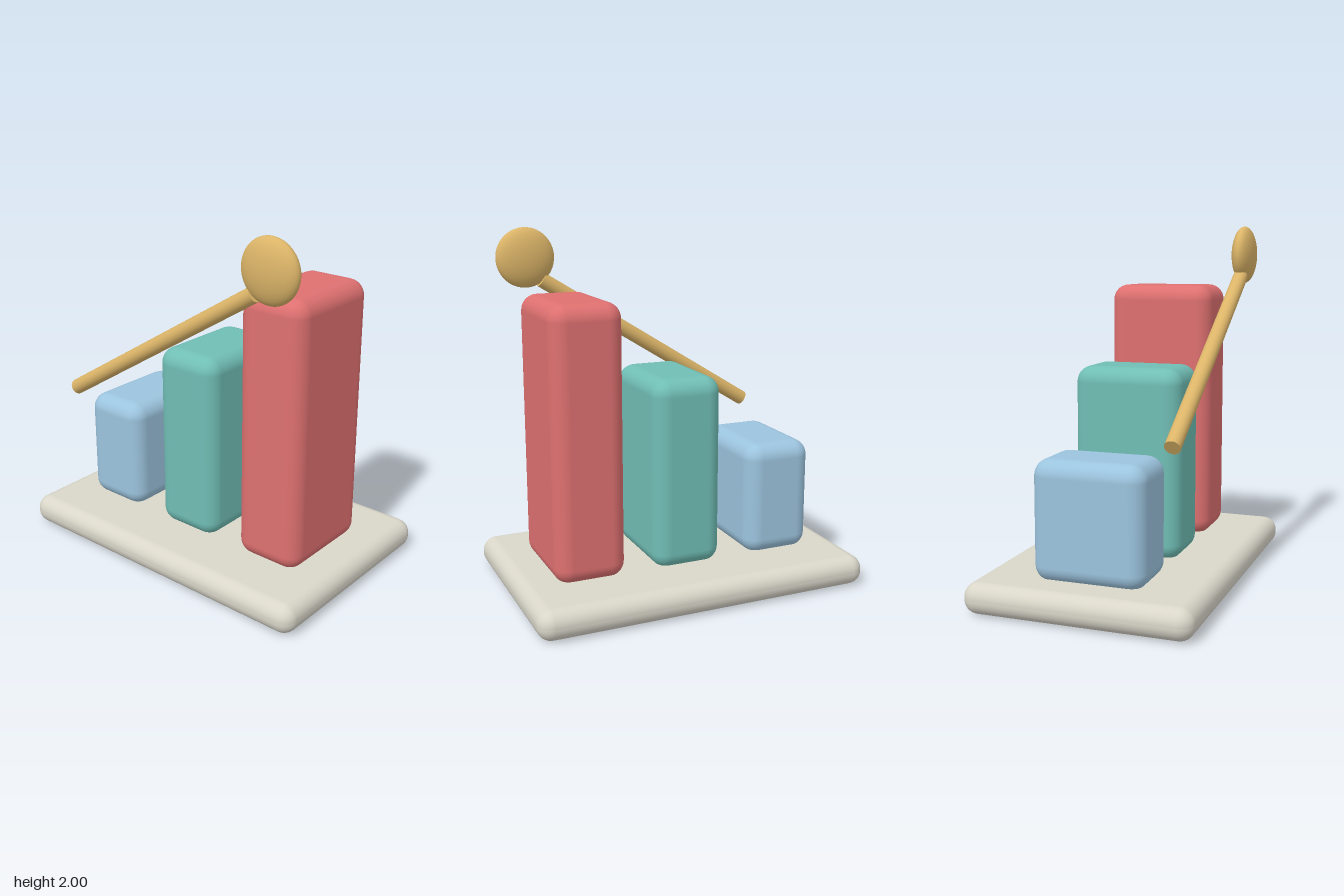
import * as THREE from 'three';
import { RoundedBoxGeometry } from 'three/addons/geometries/RoundedBoxGeometry.js';

function material(name, color) {
  const m = new THREE.MeshStandardMaterial({ color });
  m.name = name;
  return m;
}

export function createModel() {
  const group = new THREE.Group();
  const stone = material('warm stone', 0xd9d6c9);
  const blue = material('soft blue', 0x9cc4de);
  const teal = material('teal', 0x70beb5);
  const red = material('coral red', 0xde7070);
  const gold = material('golden wood', 0xdbb468);

  const add = (name, geometry, mat, x, y, z) => {
    const mesh = new THREE.Mesh(geometry, mat);
    mesh.name = name;
    mesh.position.set(x, y, z);
    group.add(mesh);
    return mesh;
  };

  // Rounded base slab
  add('base', new RoundedBoxGeometry(1.92, 0.17, 1.24, 5, 0.08), stone, 0, 0.085, 0);

  // Three rising bars, set slightly into the base
  const bottom = 0.15;
  const bars = [
    ['shortBar', blue, -0.567, 0.8],
    ['middleBar', teal, 0, 1.22],
    ['tallBar', red, 0.567, 1.655],
  ];
  for (const [name, mat, x, top] of bars) {
    const height = top - bottom;
    add(name, new RoundedBoxGeometry(0.4, height, 0.62, 4, 0.09), mat, x, bottom + height / 2, 0);
  }

  // Slanted mallet in front of the bars: round handle and flattened head
  const start = new THREE.Vector3(-0.703, 0.9, 0.44);
  const end = new THREE.Vector3(0.587, 1.706, 0.44);
  const axis = end.clone().sub(start);
  const mid = start.clone().add(end).multiplyScalar(0.5);
  const handle = add('malletHandle', new THREE.CylinderGeometry(0.043, 0.043, axis.length(), 24),
    gold, mid.x, mid.y, mid.z);
  handle.quaternion.setFromUnitVectors(new THREE.Vector3(0, 1, 0), axis.normalize());

  const headShape = new THREE.SphereGeometry(0.168, 40, 28);
  headShape.scale(1, 1, 0.4);
  add('malletHead', headShape, gold, 0.677, 1.832, 0.44);

  return group;
}
